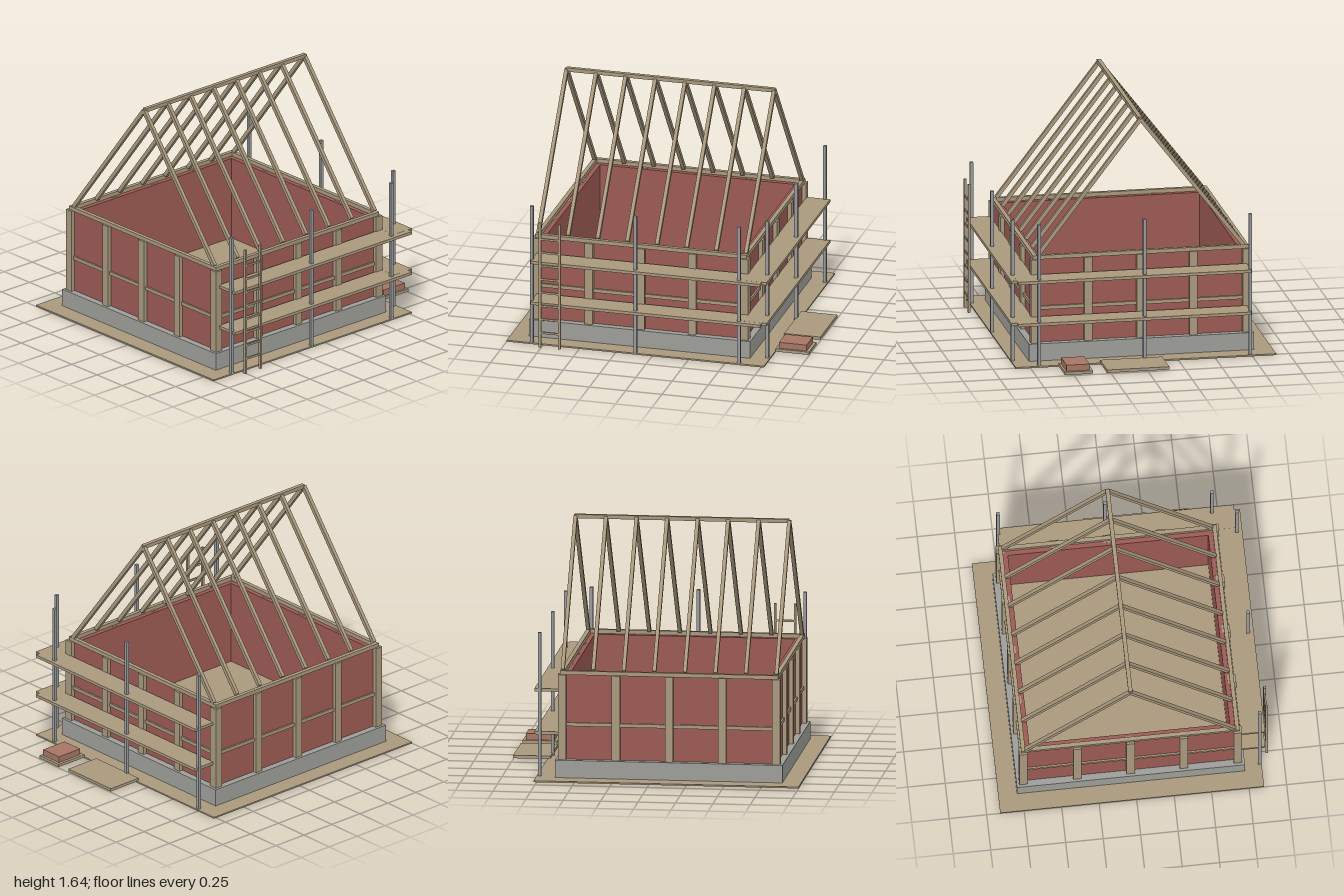
import * as THREE from 'three';

const mat = (name, color) => {
  const m = new THREE.MeshStandardMaterial({ color });
  m.name = name;
  return m;
};

export function createModel() {
  const timber = mat('timber', 0xa8987d);
  const brick = mat('red brick wall', 0x9b5a53);
  const concrete = mat('concrete', 0x9d9d99);
  const steel = mat('scaffold steel', 0x98999c);
  const clay = mat('stacked clay bricks', 0xa57563);

  const model = new THREE.Group();
  model.name = 'houseUnderConstruction';

  const group = (name, parent = model) => {
    const g = new THREE.Group();
    g.name = name;
    parent.add(g);
    return g;
  };
  // Box given by its minimum and maximum on each axis
  const box = (parent, name, material, [x0, x1], [y0, y1], [z0, z1]) => {
    const mesh = new THREE.Mesh(new THREE.BoxGeometry(x1 - x0, y1 - y0, z1 - z0), material);
    mesh.position.set((x0 + x1) / 2, (y0 + y1) / 2, (z0 + z1) / 2);
    mesh.name = name;
    parent.add(mesh);
    return mesh;
  };
  const around = (c, w) => [c - w / 2, c + w / 2];

  // Ground board
  box(model, 'groundBoard', timber, [-1, 0.77], [0, 0.01], [-0.91, 0.85]);

  // House, built around its own centre
  const house = group('house');
  house.position.set(-0.117, -0, -0.025);
  box(house, 'foundation', concrete, [-0.76, 0.76], [0.003, 0.128], [-0.76, 0.76]);
  box(house, 'floor', timber, [-0.668, 0.668], [0.126, 0.131], [-0.668, 0.668]);

  // Four identical timber-framed wall sides
  for (let i = 0; i < 4; i++) {
    const side = group('wallSide', house);
    side.rotation.y = (i * Math.PI) / 2;
    box(side, 'wallPanel', brick, [-0.715, 0.668], [0.128, 0.7], [0.668, 0.715]);
    box(side, 'middleRail', timber, [-0.7, 0.7], [0.353, 0.377], [0.7, 0.727]);
    box(side, 'topPlate', timber, [-0.728, 0.7], [0.7, 0.727], [0.7, 0.728]);
    for (const x of [-0.715, -0.355, 0, 0.355]) {
      box(side, 'wallPost', timber, around(x, 0.055), [0.128, 0.702], around(0.715, 0.055));
    }
  }

  // Roof frame: ridge beam and eight pairs of rafters
  const roof = group('roofFrame', house);
  box(roof, 'ridgeBeam', timber, [-0.713, 0.722], [1.617, 1.643], around(0.002, 0.028));
  const footZ = 0.695, footY = 0.727, apexY = 1.628;
  const length = Math.hypot(footZ, apexY - footY);
  for (let i = 0; i < 8; i++) {
    const x = -0.713 + i * 0.204;
    for (const s of [-1, 1]) {
      const rafter = new THREE.Mesh(new THREE.BoxGeometry(0.025, length, 0.026), timber);
      rafter.name = 'rafter';
      rafter.position.set(x, (footY + apexY) / 2, (s * footZ) / 2);
      rafter.rotation.x = -s * Math.atan2(footZ, apexY - footY);
      roof.add(rafter);
    }
  }

  // Scaffold along the front and the left side
  const scaffold = group('scaffold');
  for (const y of [0.29, 0.58]) {
    box(scaffold, 'frontDeck', timber, [-0.83, 0.75], [y, y + 0.02], [0.71, 0.875]);
    box(scaffold, 'sideDeck', timber, [0.622, 0.785], [y + 0.0005, y + 0.0205], [-0.74, 0.835]);
  }
  const poles = [[-0.83, 0.838], [-0.117, 0.838], [0.597, 0.838], [0.75, -0.738], [0.75, -0.025], [0.75, 0.688]];
  for (const [x, z] of poles) {
    box(scaffold, 'scaffoldPole', steel, around(x, 0.022), [0.005, 0.98], around(z, 0.022));
  }

  // Ladder
  const ladder = group('ladder');
  for (const x of [-0.757, -0.623]) {
    box(ladder, 'ladderRail', timber, around(x, 0.015), [0.003, 0.888], [0.885, 0.902]);
  }
  for (let i = 0; i < 8; i++) {
    box(ladder, 'ladderRung', timber, [-0.757, -0.623], around(0.107 + i * 0.095, 0.013), [0.888, 0.899]);
  }

  // Building materials beside the house
  const supplies = group('supplies');
  box(supplies, 'boardStack', timber, [0.75, 1], [0.006, 0.026], [-0.143, 0.277]);
  box(supplies, 'brickPallet', timber, [0.77, 1], [0.006, 0.026], [0.372, 0.562]);
  box(supplies, 'brickStack', clay, [0.79, 0.98], [0.026, 0.068], [0.392, 0.547]);

  return model;
}
